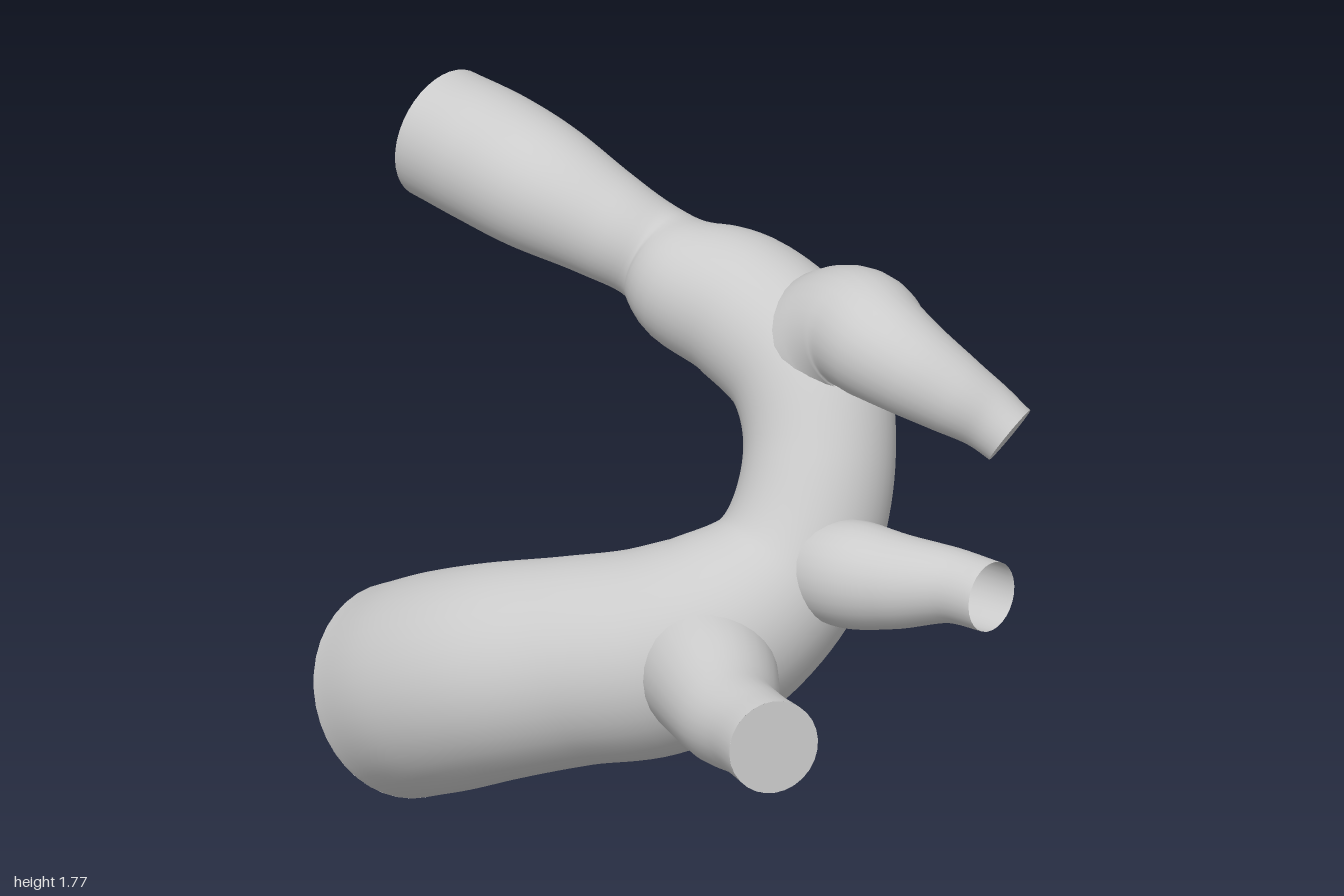
import * as THREE from 'three';
import { mergeVertices } from 'three/addons/utils/BufferGeometryUtils.js';

const material = new THREE.MeshStandardMaterial({ color: 0xcccccc, side: THREE.DoubleSide });

// Smooth tube through stations [x, y, z, radius]; optional flat caps at its ends
function vessel(name, stations, rings, sides, { capStart = false, capEnd = false } = {}) {
  const group = new THREE.Group();
  group.name = name;
  const path = new THREE.CatmullRomCurve3(stations.map(([x, y, z]) => new THREE.Vector3(x, y, z)));
  const radii = new THREE.SplineCurve(stations.map((s, i) => new THREE.Vector2(i, s[3])));

  // Unit tube, then every ring is scaled to its own radius
  let geometry = new THREE.TubeGeometry(path, rings, 1, sides, false);
  const position = geometry.attributes.position;
  const normal = geometry.attributes.normal;
  const p = new THREE.Vector3();
  const n = new THREE.Vector3();
  for (let i = 0; i < position.count; i++) {
    const u = Math.floor(i / (sides + 1)) / rings;
    path.getPointAt(u, p);
    n.fromBufferAttribute(normal, i);
    p.addScaledVector(n, radii.getPoint(path.getUtoTmapping(u)).y);
    position.setXYZ(i, p.x, p.y, p.z);
  }
  geometry.deleteAttribute('uv');
  geometry.deleteAttribute('normal');
  geometry = mergeVertices(geometry, 1e-5);
  geometry.computeVertexNormals();
  const wall = new THREE.Mesh(geometry, material);
  wall.name = name + 'Wall';
  group.add(wall);

  // Flat end discs facing outwards
  const addCap = (u, sign, radius) => {
    const cap = new THREE.Mesh(new THREE.CircleGeometry(radius, sides), material);
    cap.name = name + 'Cap';
    cap.position.copy(path.getPointAt(u));
    cap.quaternion.setFromUnitVectors(
      new THREE.Vector3(0, 0, 1), path.getTangentAt(u).multiplyScalar(sign));
    group.add(cap);
  };
  if (capStart) addCap(0, -1, stations[0][3]);
  if (capEnd) addCap(1, 1, stations[stations.length - 1][3]);
  return group;
}

export function createModel() {
  const model = new THREE.Group();
  model.name = 'branchingVessel';

  // Wide inlet, bend, arch and narrowed outlet as one continuous trunk
  model.add(vessel('trunk', [
    [-0.25, 0.26, -0.65, 0.285],
    [-0.28, 0.35, -0.47, 0.29],
    [-0.27, 0.43, -0.29, 0.285],
    [-0.2, 0.5, -0.08, 0.275],
    [-0.11, 0.555, 0.11, 0.275],
    [0.0, 0.64, 0.25, 0.26],
    [0.165, 0.785, 0.335, 0.215],
    [0.3, 1.03, 0.315, 0.2],
    [0.37, 1.23, 0.2, 0.205],
    [0.365, 1.34, 0.0, 0.2],
    [0.33, 1.38, -0.17, 0.175],
    [0.335, 1.42, -0.3, 0.135],
    [0.285, 1.48, -0.42, 0.145],
    [0.235, 1.55, -0.61, 0.175],
    [0.235, 1.58, -0.8, 0.182],
    [0.24, 1.595, -0.97, 0.178],
  ], 120, 40, { capStart: true }));

  // Lower side branch
  model.add(vessel('lowerBranch', [
    [-0.08, 0.59, 0.22, 0.19],
    [-0.2, 0.585, 0.4, 0.175],
    [-0.33, 0.585, 0.58, 0.138],
    [-0.4, 0.605, 0.73, 0.122],
    [-0.46, 0.62, 0.86, 0.125],
  ], 36, 28, { capEnd: true }));

  // Middle branch, open at its tip
  model.add(vessel('middleBranch', [
    [0.165, 0.8, 0.4, 0.13],
    [0.16, 0.825, 0.57, 0.143],
    [0.185, 0.835, 0.69, 0.128],
    [0.232, 0.855, 0.85, 0.1],
    [0.24, 0.86, 0.985, 0.094],
  ], 32, 28));

  // Upper branch, bulging over the arch and drooping forward
  model.add(vessel('upperBranch', [
    [0.38, 1.27, 0.2, 0.18],
    [0.385, 1.36, 0.3, 0.175],
    [0.365, 1.405, 0.4, 0.163],
    [0.335, 1.4, 0.5, 0.15],
    [0.34, 1.37, 0.6, 0.132],
    [0.38, 1.315, 0.71, 0.11],
    [0.425, 1.262, 0.79, 0.092],
    [0.45, 1.215, 0.855, 0.084],
  ], 44, 28, { capEnd: true }));

  return model;
}
